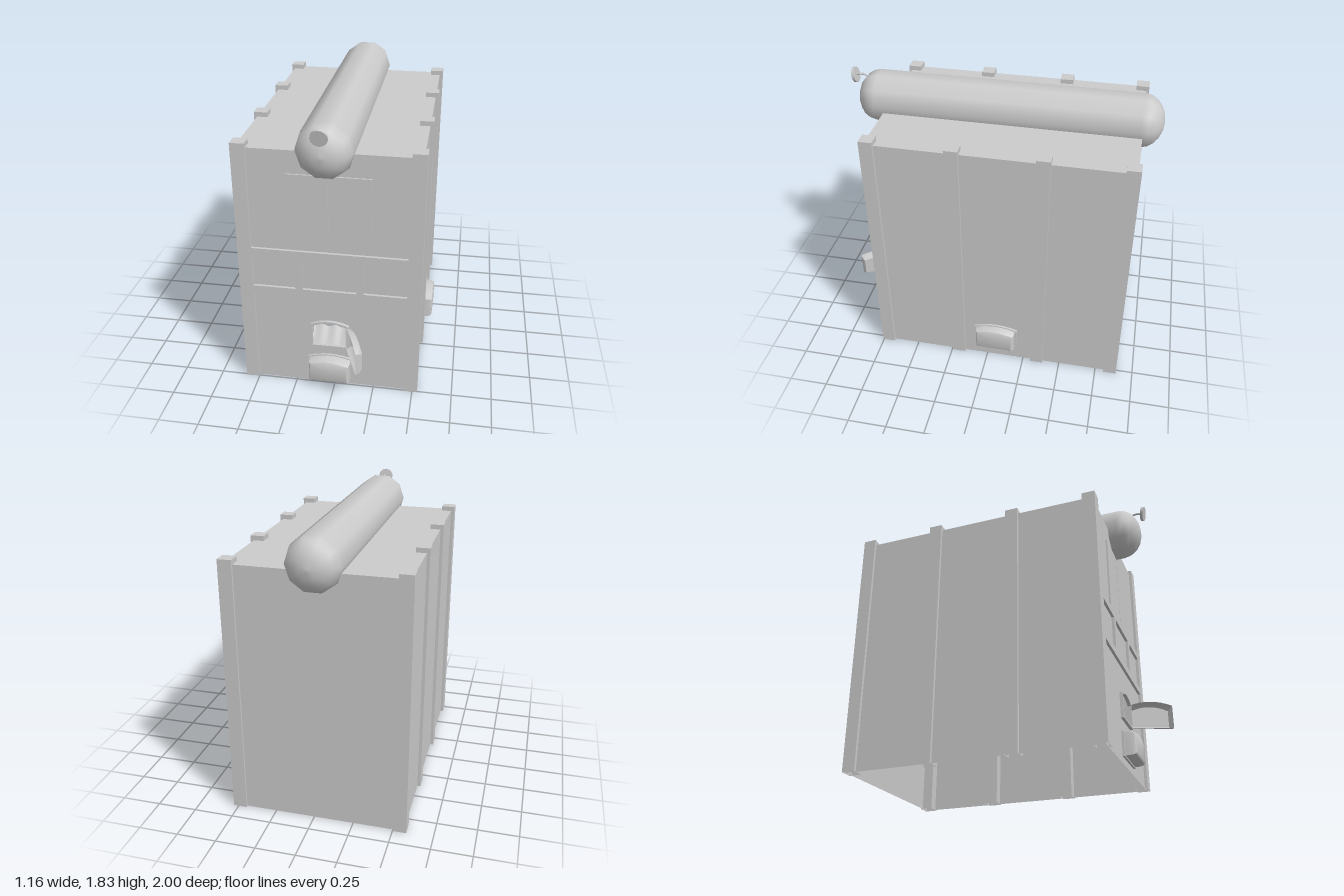
import * as THREE from 'three';
import { toCreasedNormals } from 'three/addons/utils/BufferGeometryUtils.js';

const mat = new THREE.MeshStandardMaterial({ color: 0xcccccc, side: THREE.DoubleSide });
const CX = -0.028; // middle of the cabinet

function add(parent, name, geo, x = 0, y = 0, z = 0) {
  const m = new THREE.Mesh(geo, mat);
  m.name = name;
  m.position.set(x, y, z);
  parent.add(m);
  return m;
}

// Box given by its limits; faces listed in skip (+x,-x,+y,-y,+z,-z = 0..5) are left open
function box(parent, name, x0, x1, y0, y1, z0, z1, skip = []) {
  const g = new THREE.BoxGeometry(x1 - x0, y1 - y0, z1 - z0);
  const idx = Array.from(g.index.array).filter((_, i) => !skip.includes(Math.floor(i / 6)));
  g.setIndex(idx);
  g.clearGroups();
  return add(parent, name, g, (x0 + x1) / 2, (y0 + y1) / 2, (z0 + z1) / 2);
}

// Outline with a flat foot and an arched top, counter-clockwise
function arch(w, h, rise, inset = 0) {
  const a = w / 2 - inset, top = h - inset, pts = [[-a, inset], [a, inset]];
  for (let i = 0; i <= 8; i++) {
    const t = 1 - i / 4;
    pts.push([a * t, top - rise * t * t]);
  }
  return pts.map(([x, y]) => new THREE.Vector2(x, y));
}

// Flat arched rim
function rim(w, h, rise, band, depth) {
  const s = new THREE.Shape(arch(w, h, rise));
  s.holes.push(new THREE.Path(arch(w, h, rise, band)));
  return new THREE.ExtrudeGeometry(s, { depth, bevelEnabled: false });
}

// Hollow door pressed out of sheet: rings [inset, z] joined, front closed, back open
function doorShell(w, h, rise, rings) {
  const loops = rings.map(([k, z]) => arch(w, h, rise, k).map(p => [p.x, p.y, z]));
  const n = loops[0].length, pos = [], idx = [];
  loops.forEach(l => l.forEach(p => pos.push(...p)));
  for (let r = 0; r < loops.length - 1; r++) {
    for (let i = 0; i < n; i++) {
      const j = (i + 1) % n, a = r * n + i, b = r * n + j;
      idx.push(a, b, b + n, a, b + n, a + n);
    }
  }
  const c = pos.length / 3, last = c - n;
  pos.push(0, h / 2, rings[rings.length - 1][1]);
  for (let i = 0; i < n; i++) idx.push(last + i, last + (i + 1) % n, c);
  const g = new THREE.BufferGeometry();
  g.setAttribute('position', new THREE.Float32BufferAttribute(pos, 3));
  g.setIndex(idx);
  return toCreasedNormals(g, 0.6);
}

function closedHatch(name, depth) {
  const g = new THREE.Group();
  g.name = name;
  add(g, 'hatchFrame', rim(0.29, 0.182, 0.026, 0.013, 0.014));
  add(g, 'hatchDoor', doorShell(0.264, 0.17, 0.024,
    [[0, 0], [0.003, depth * 0.7], [0.01, depth * 0.92], [0.02, depth]])).position.y = 0.006;
  return g;
}

export function createModel() {
  const model = new THREE.Group();

  // Cabinet, open underneath, with a separate front wall
  box(model, 'cabinet', -0.565, 0.51, 0, 1.61, -0.875, 0.737, [3, 4]);
  const wall = new THREE.Shape([[-0.565, 0], [0.51, 0], [0.51, 1.61], [-0.565, 1.61]].map(p => new THREE.Vector2(...p)));
  wall.holes.push(new THREE.Path(arch(0.24, 0.185, 0.028).map(p => new THREE.Vector2(p.x + CX, p.y + 0.29))));
  add(model, 'frontWall', new THREE.ShapeGeometry(wall), 0, 0, 0.737);

  // Upright posts along both sides
  for (const z of [0.755, 0.24, -0.302, -0.807]) {
    for (const x of [-0.585, 0.446]) box(model, 'post', x, x + 0.085, 0, 1.64, z - 0.084, z, [3]);
  }

  // Front framework dividing the recessed panels
  for (const y of [0.655, 0.92]) box(model, 'crossBar', -0.5, 0.446, y, y + 0.048, 0.68, 0.754);
  for (const x of [-0.237, 0.137]) box(model, 'dividerBar', x, x + 0.045, 0.703, 0.92, 0.68, 0.754);

  // Pair of flat upper doors
  for (const x of [-0.275, -0.021]) box(model, 'upperDoor', x, x + 0.247, 0.977, 1.467, 0.735, 0.747);

  // Firebox opening, its open door and the ember bed
  add(model, 'fireboxFrame', rim(0.242, 0.193, 0.028, 0.011, 0.022), CX, 0.287, 0.735);
  const door = add(model, 'openFireDoor', doorShell(0.27, 0.175, 0.026,
    [[0, 0], [0.004, 0.025], [0.02, 0.045]]), 0.122, 0.293, 0.874);
  door.rotation.y = 1.95;
  const bed = new THREE.PlaneGeometry(0.236, 0.1, 24, 1);
  const p = bed.attributes.position;
  for (let i = 0; i < p.count; i++) {
    const back = p.getY(i) > 0;
    const wave = 0.007 * Math.sin(p.getX(i) * 75);
    p.setXYZ(i, p.getX(i), back ? 0.39 + wave : 0.292, back ? 0.665 : 0.745);
  }
  bed.computeVertexNormals();
  add(model, 'emberBed', bed, CX);

  // Closed hatches
  const ash = closedHatch('ashHatch', 0.08);
  ash.position.set(-0.028, 0.042, 0.738);
  const side = closedHatch('sideHatch', 0.065);
  side.position.set(0.511, 0.1, -0.06);
  side.rotation.y = Math.PI / 2;
  model.add(ash, side);

  // Ten-sided tank with rounded ends lying on the roof
  const R = 0.168, cap = 0.135, profile = [];
  for (let i = 0; i <= 5; i++) {
    const a = i / 5 * Math.PI / 2;
    profile.push(new THREE.Vector2(R * Math.sin(a), -0.865 - cap * Math.cos(a)));
  }
  for (let i = 5; i >= 0; i--) {
    const a = i / 5 * Math.PI / 2;
    profile.push(new THREE.Vector2(R * Math.sin(a), 0.795 + cap * Math.cos(a)));
  }
  add(model, 'tank', new THREE.LatheGeometry(profile, 10, Math.PI / 2), -0.029, 1.651, 0).rotation.x = Math.PI / 2;

  // Valve: bent stem and tilted handwheel
  const stem = new THREE.CatmullRomCurve3([[1.765, 0.85], [1.787, 0.885], [1.791, 0.92], [1.782, 0.955]]
    .map(([y, z]) => new THREE.Vector3(-0.029, y, z)));
  add(model, 'valveStem', new THREE.TubeGeometry(stem, 8, 0.007, 8));
  const wheel = toCreasedNormals(new THREE.CylinderGeometry(0.049, 0.049, 0.017, 16), 0.6);
  add(model, 'valveWheel', wheel, -0.029, 1.782, 0.954).rotation.x = Math.PI / 2 + 0.2;

  return model;
}
